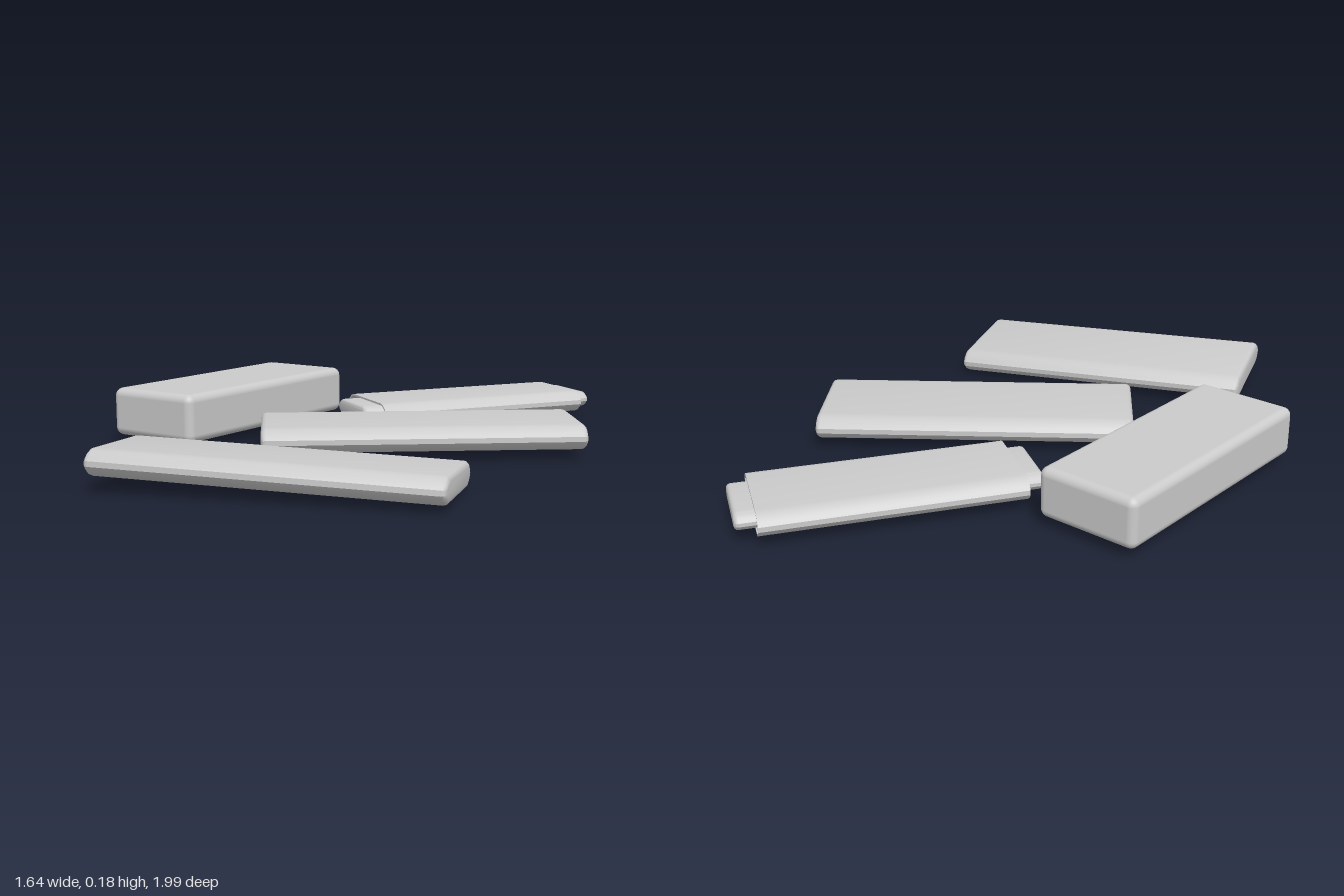
import * as THREE from 'three';
import { toCreasedNormals } from 'three/addons/utils/BufferGeometryUtils.js';
import { RoundedBoxGeometry } from 'three/addons/geometries/RoundedBoxGeometry.js';

const material = new THREE.MeshStandardMaterial({ color: 0xcccccc });
const thinMaterial = new THREE.MeshStandardMaterial({ color: 0xcccccc, side: THREE.DoubleSide });

// Flat lozenge outline: level top and bottom, softly tapering sides
function trace(path, w, t) {
  const a = w - t * 1.35, c = w - t * 0.55, tip = t * 0.2;
  path.moveTo(-a, -t);
  path.lineTo(a, -t);
  path.quadraticCurveTo(c, -t, w, -tip);
  path.lineTo(w, tip);
  path.quadraticCurveTo(c, t, a, t);
  path.lineTo(-a, t);
  path.quadraticCurveTo(-c, t, -w, tip);
  path.lineTo(-w, -tip);
  path.quadraticCurveTo(-c, -t, -a, -t);
  return path;
}

// Bar lying along z, with rounded ends
function barGeometry(width, thickness, length, bevel) {
  const geo = new THREE.ExtrudeGeometry(trace(new THREE.Shape(), width / 2, thickness / 2), {
    depth: length - 2 * bevel, curveSegments: 5,
    bevelThickness: bevel, bevelSize: bevel, bevelOffset: -bevel, bevelSegments: 3,
  });
  geo.translate(0, 0, bevel - length / 2);
  return toCreasedNormals(geo, 0.6);
}

// Open wrapper tube along z
function sleeveGeometry(width, thickness, length, wall) {
  const shape = trace(new THREE.Shape(), width / 2, thickness / 2);
  shape.holes.push(trace(new THREE.Path(), width / 2 - wall, thickness / 2 - wall));
  const geo = new THREE.ExtrudeGeometry(shape, { depth: length, curveSegments: 5, bevelEnabled: false });
  geo.translate(0, 0, -length / 2);
  return toCreasedNormals(geo, 0.6);
}

export function createModel() {
  const model = new THREE.Group();

  // Places a part with its length pointing along (dx, dz)
  function place(name, object, [x, y, z], [dx, dz], pitch = 0, roll = 0) {
    object.name = name;
    object.position.set(x, y, z);
    object.rotation.set(pitch, Math.atan2(dx, dz), roll, 'YXZ');
    model.add(object);
  }

  // Thick block
  place('thickBar', new THREE.Mesh(new RoundedBoxGeometry(0.32, 0.15, 0.805, 4, 0.025), material),
    [-0.535, 0.105, 0.19], [0.29, 0.75]);

  // Two thin bars, the front one slightly tilted
  const thin = barGeometry(0.37, 0.076, 0.97, 0.015);
  place('middleBar', new THREE.Mesh(thin, material), [0.125, 0.067, -0.09], [-0.5, 0.83]);
  place('frontBar', new THREE.Mesh(thin, material), [0.34, 0.062, 0.54], [-0.72, 0.63], -0.03, 0.06);

  // Bar poking out of both ends of its sleeve
  const wrapped = new THREE.Group();
  const inner = new THREE.Mesh(barGeometry(0.235, 0.052, 0.86, 0.012), material);
  inner.name = 'innerBar';
  const sleeve = new THREE.Mesh(sleeveGeometry(0.318, 0.072, 0.745, 0.006), thinMaterial);
  sleeve.name = 'sleeve';
  wrapped.add(inner, sleeve);
  place('wrappedBar', wrapped, [-0.23, 0.066, -0.557], [-0.15, 0.73]);

  return model;
}
